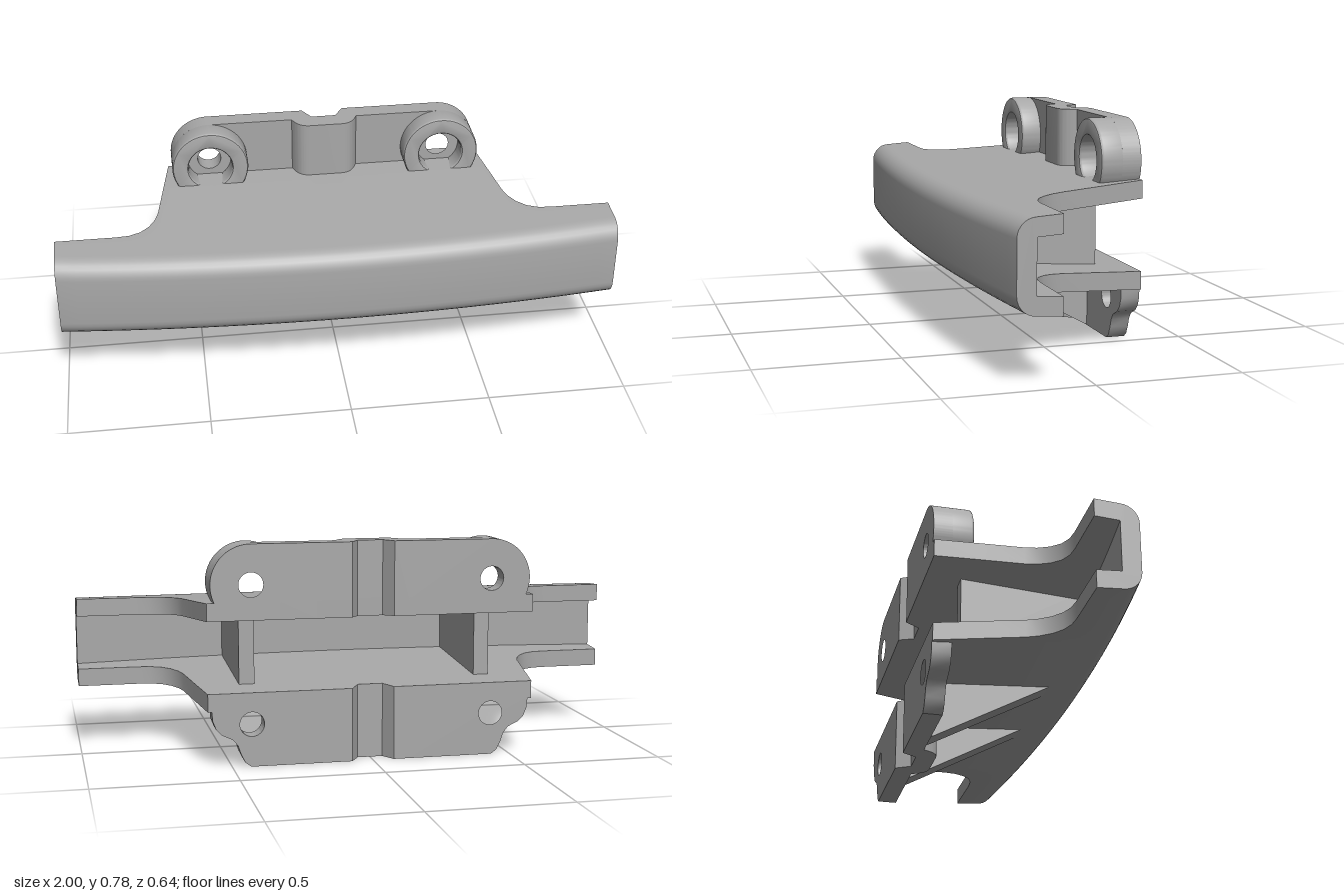
import * as THREE from 'three';
import { toCreasedNormals } from 'three/addons/utils/BufferGeometryUtils.js';

const BACK = -0.32, FLANGE = -0.253, MID = 0.3865, HOLE_X = 0.43;

// Outer height of the upper plate, which rises slightly towards the back
const plateY = (z) => 0.54 + 0.0673 * (0.2 - z);

// Closed C-shaped section running from the back edge zb to the front face zf
function channelSection(zb, zf) {
  const r = 0.065, wall = 0.065, steps = 7;
  const upper = [[zb, plateY(zb)]];
  const cz = zf - r, cy = plateY(cz) - r;
  for (let i = 0; i <= steps; i++) {
    const a = (Math.PI / 2) * (1 - i / steps);
    upper.push([cz + r * Math.cos(a), cy + r * Math.sin(a)]);
  }
  const zi = zf - wall;
  const flip = ([z, y]) => [z, 2 * MID - y];
  const inner = [[zi, plateY(zi) - 0.063], [zb, plateY(zb) - 0.063]];
  return [...upper, ...upper.map(flip).reverse(), ...inner.map(flip).reverse(), ...inner];
}

// Sweep the section across x; the back edge sets the plan outline
function channelGeometry() {
  const half = [
    [0.045, -0.268], [0.075, BACK], [0.2, BACK], [0.33, BACK], [0.46, BACK],
    [0.583, BACK], [0.61, -0.16], [0.633, -0.02], [0.645, 0.02], [0.668, 0.06],
    [0.7, 0.09], [0.74, 0.106], [0.785, 0.11], [0.86, 0.11], [0.93, 0.11], [1, 0.11],
  ];
  const stations = [...half.map(([x, z]) => [-x, z]).reverse(), [0, -0.268], ...half];
  const loops = stations.map(([x, zb]) =>
    channelSection(zb, 0.32 - 0.06 * x * x).map(([z, y]) => [x, y, z]));
  const pos = [];
  const tri = (a, b, c) => pos.push(...a, ...b, ...c);
  const n = loops[0].length;
  for (let i = 0; i < loops.length - 1; i++) {
    for (let j = 0; j < n; j++) {
      const k = (j + 1) % n;
      const a = loops[i][j], b = loops[i][k], c = loops[i + 1][k], d = loops[i + 1][j];
      tri(a, b, c);
      tri(a, c, d);
    }
  }
  // End caps
  const first = loops[0], last = loops[loops.length - 1];
  const contour = last.map(([, y, z]) => new THREE.Vector2(-z, y));
  for (const [a, b, c] of THREE.ShapeUtils.triangulateShape(contour, [])) {
    tri(last[a], last[b], last[c]);
    tri(first[a], first[c], first[b]);
  }
  const g = new THREE.BufferGeometry();
  g.setAttribute('position', new THREE.Float32BufferAttribute(pos, 3));
  return toCreasedNormals(g, 0.5);
}

const extrude = (shape, depth, extra = {}) =>
  toCreasedNormals(new THREE.ExtrudeGeometry(shape,
    { depth, bevelEnabled: false, curveSegments: 32, ...extra }), 0.5);

function polygon(points) {
  return new THREE.Shape(points.map(([x, y]) => new THREE.Vector2(x, y)));
}

function addHole(shape, x, y, r) {
  const hole = new THREE.Path();
  hole.absarc(x, y, r, 0, Math.PI * 2, true);
  shape.holes.push(hole);
}

export function createModel() {
  const model = new THREE.Group();
  const grey = new THREE.MeshStandardMaterial({ color: 0xa8a8a8 });
  grey.name = 'grey';
  const add = (name, geometry, x = 0, y = 0, z = 0) => {
    const mesh = new THREE.Mesh(geometry, grey);
    mesh.name = name;
    mesh.position.set(x, y, z);
    model.add(mesh);
    return mesh;
  };

  add('channelBody', channelGeometry());

  // Central saddle: groove behind, rounded bulge in front
  const saddle = new THREE.Shape();
  saddle.moveTo(-0.13, -BACK);
  saddle.lineTo(-0.13, -FLANGE);
  saddle.lineTo(-0.12, -FLANGE);
  saddle.bezierCurveTo(-0.105, 0.215, -0.09, 0.2, -0.06, 0.198);
  saddle.lineTo(0.06, 0.198);
  saddle.bezierCurveTo(0.09, 0.2, 0.105, 0.215, 0.12, -FLANGE);
  saddle.lineTo(0.13, -FLANGE);
  saddle.lineTo(0.13, -BACK);
  saddle.lineTo(0.075, -BACK);
  saddle.lineTo(0.045, 0.268);
  saddle.lineTo(-0.045, 0.268);
  saddle.lineTo(-0.075, -BACK);
  const saddleGeometry = (h) => extrude(saddle, h).rotateX(-Math.PI / 2);
  add('upperSaddle', saddleGeometry(0.209), 0, 0.566, 0);
  add('lowerSaddle', saddleGeometry(0.207), 0, 0, 0);

  const thickness = FLANGE - BACK;
  const bossY = 0.635, bossR = 0.14, boreR = 0.08;

  for (const s of [1, -1]) {
    const side = s > 0 ? 'left' : 'right';

    // Upper flange with a rounded end around the bolt hole
    const upper = new THREE.Shape();
    const low = Math.asin((0.57 - bossY) / bossR);
    upper.moveTo(s * 0.13, 0.57);
    upper.lineTo(s * 0.13, bossY + bossR);
    upper.lineTo(s * HOLE_X, bossY + bossR);
    if (s > 0) upper.absarc(HOLE_X, bossY, bossR, Math.PI / 2, low, true);
    else upper.absarc(-HOLE_X, bossY, bossR, Math.PI / 2, Math.PI - low, false);
    addHole(upper, s * HOLE_X, bossY, 0.043);
    add(side + 'UpperFlange', extrude(upper, thickness), 0, 0, BACK);

    // Counterbored boss, open where it meets the plate
    const outA = Math.asin((0.56 - bossY) / bossR), inA = Math.asin((0.56 - bossY) / boreR);
    const boss = new THREE.Shape();
    boss.absarc(0, 0, bossR, outA, Math.PI - outA, false);
    boss.absarc(0, 0, boreR, Math.PI - inA, inA, true);
    add(side + 'Boss', extrude(boss, 0.067, {
      bevelEnabled: true, bevelThickness: 0.01, bevelSize: 0.008,
      bevelOffset: -0.008, bevelSegments: 3,
    }), s * HOLE_X, bossY, -0.255);

    // Lower flange with a scalloped outer edge
    const lower = polygon([
      [0.13, 0.203], [0.13, 0], [0.435, 0], [0.455, 0.015], [0.47, 0.045],
      [0.48, 0.075], [0.497, 0.097], [0.535, 0.115], [0.555, 0.135],
      [0.567, 0.165], [0.57, 0.203],
    ].map(([x, y]) => [s * x, y]));
    addHole(lower, s * HOLE_X, 0.15, 0.043);
    add(side + 'LowerFlange', extrude(lower, thickness), 0, 0, BACK);

    // Triangular gusset under the lower plate
    const gusset = polygon([[0.185, 0.24], [-0.26, 0.215], [-0.26, 0], [-0.245, 0.005]]);
    add(side + 'Gusset',
      extrude(gusset, 0.08).translate(0, 0, -0.04).rotateY(-Math.PI / 2), s * 0.2, 0, 0);

    // Rib joining the two plates inside the channel
    add(side + 'Rib', new THREE.BoxGeometry(0.055, 0.27, 0.46), s * HOLE_X, MID, 0.03);
  }
  return model;
}
